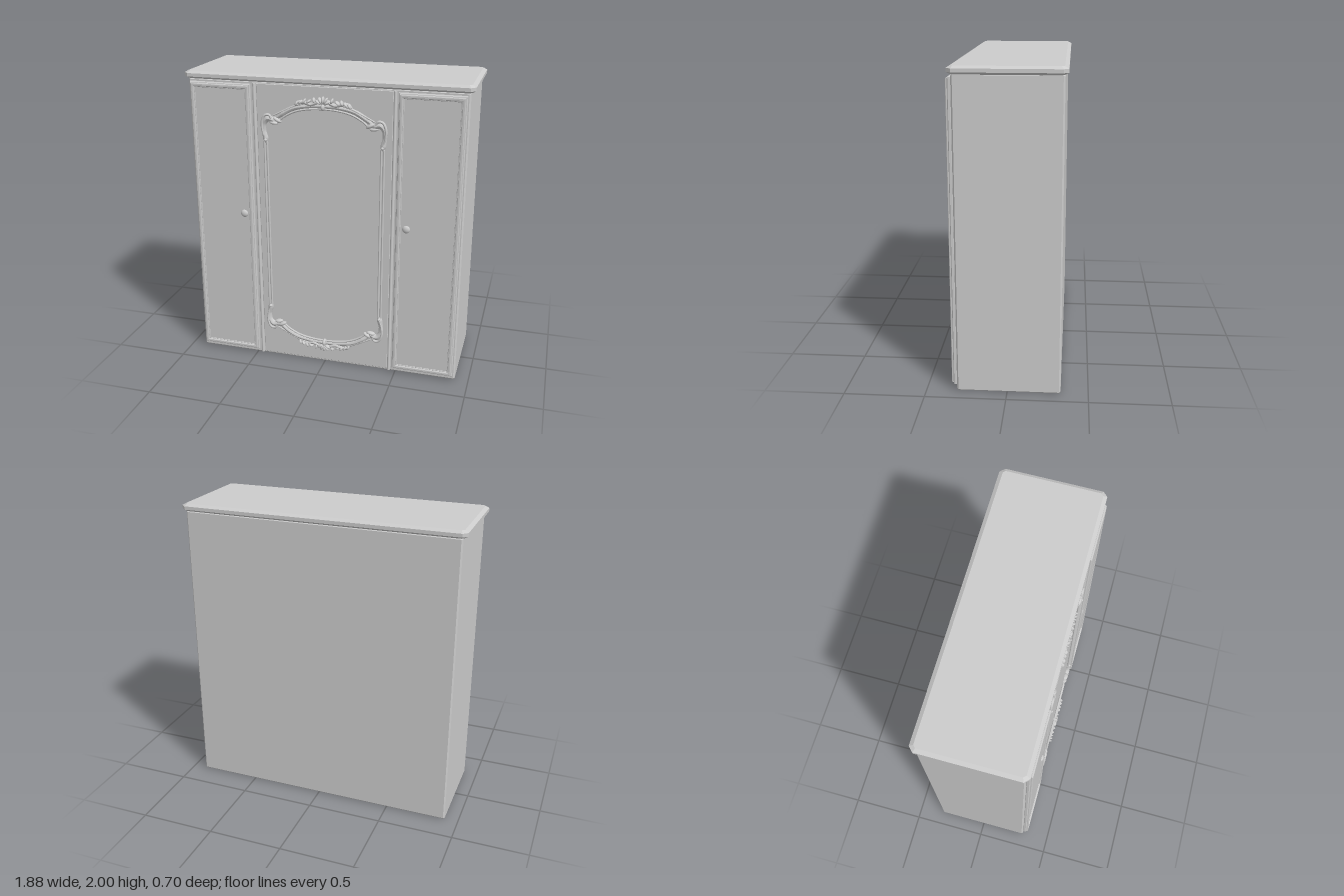
import * as THREE from 'three';

const material = new THREE.MeshStandardMaterial({ color: 0xcccccc });
const FACE = 0.312; // z of the carcass front
const MID = 0.985;  // height about which the central frame mirrors

function add(parent, name, geometry, x = 0, y = 0, z = 0) {
  const mesh = new THREE.Mesh(geometry, material);
  mesh.name = name;
  mesh.position.set(x, y, z);
  parent.add(mesh);
  return mesh;
}

// Rectangle with cut corners, centred on the origin
function rect(w, h, cut = 0, Type = THREE.Shape) {
  const x = w / 2, y = h / 2, s = new Type();
  if (!cut) {
    [[-x, -y], [x, -y], [x, y], [-x, y]].forEach((p, i) => (i ? s.lineTo(...p) : s.moveTo(...p)));
  } else {
    [[-x + cut, -y], [x - cut, -y], [x, -y + cut], [x, y - cut],
      [x - cut, y], [-x + cut, y], [-x, y - cut], [-x, -y + cut]]
      .forEach((p, i) => (i ? s.lineTo(...p) : s.moveTo(...p)));
  }
  s.closePath();
  return s;
}

// Slab from z = 0 to z = depth, chamfered inward on both faces
function slab(w, h, depth, chamfer, thick = chamfer, cut = 0) {
  return new THREE.ExtrudeGeometry(rect(w, h, cut), {
    depth: depth - 2 * thick, bevelEnabled: true, bevelSegments: 1,
    bevelSize: chamfer, bevelThickness: thick, bevelOffset: -chamfer,
  }).translate(0, 0, thick);
}

// Rectangular moulding with an open middle
function moulding(w, h, border, depth, bevel) {
  const s = rect(w - 2 * bevel, h - 2 * bevel);
  s.holes.push(rect(w - 2 * border + 2 * bevel, h - 2 * border + 2 * bevel, 0, THREE.Path));
  return new THREE.ExtrudeGeometry(s, {
    depth: depth - bevel, bevelEnabled: true, bevelSegments: 2, bevelSize: bevel, bevelThickness: bevel,
  });
}

// Carved strand: a tube along [x, y, radius] points, flattened in z
function strand(points, sx, sy, flat = 1) {
  const curve = new THREE.CatmullRomCurve3(points.map(([x, y]) => new THREE.Vector3(x * sx, MID + (y - MID) * sy, 0)));
  const segs = points.length * 6, radial = 10;
  const geo = new THREE.TubeGeometry(curve, segs, 1, radial);
  const pos = geo.attributes.position, v = new THREE.Vector3();
  for (let i = 0; i <= segs; i++) {
    const c = curve.getPointAt(i / segs);
    const t = curve.getUtoTmapping(i / segs) * (points.length - 1);
    const k = Math.min(Math.floor(t), points.length - 2);
    const r = THREE.MathUtils.lerp(points[k][2], points[k + 1][2], t - k);
    for (let j = 0; j <= radial; j++) {
      const n = i * (radial + 1) + j;
      v.fromBufferAttribute(pos, n).sub(c).multiplyScalar(r);
      pos.setXYZ(n, c.x + v.x, c.y + v.y, v.z * flat);
    }
  }
  geo.computeVertexNormals();
  return geo;
}

// Rounded leaf or bead
function lobe(parent, name, x, y, rx, ry, rz, angle, sx, sy) {
  const m = add(parent, name, new THREE.SphereGeometry(1, 12, 8), x * sx, MID + (y - MID) * sy, FACE + 0.008);
  m.scale.set(rx, ry, rz);
  m.rotation.z = angle * sx * sy;
}

function door(side) {
  const g = new THREE.Group();
  g.name = side > 0 ? 'leftDoor' : 'rightDoor';
  const w = 0.414, h = 1.9;
  add(g, 'doorLeaf', slab(w, h, 0.024, 0.005));
  add(g, 'doorMoulding', moulding(w - 0.016, h - 0.016, 0.022, 0.036, 0.006));
  add(g, 'innerBead', moulding(w - 0.056, h - 0.056, 0.008, 0.027, 0.003));
  const knob = add(g, 'knob', new THREE.SphereGeometry(0.026, 20, 14), -side * 0.136, 0.075, 0.022);
  knob.scale.z = 0.65;
  g.position.set(side * 0.687, 0.985, FACE - 0.002);
  return g;
}

// One quarter of the carved central frame
function carvedQuarter(parent, sx, sy) {
  const s = (name, pts, flat, z = FACE + 0.004) => add(parent, name, strand(pts, sx, sy, flat), 0, 0, z);
  // Corner scroll climbing from the side rod
  s('cornerScroll', [[0.385, 1.56, 0.012], [0.388, 1.59, 0.019], [0.397, 1.64, 0.014], [0.395, 1.69, 0.018],
    [0.37, 1.72, 0.022], [0.335, 1.712, 0.02], [0.315, 1.69, 0.004]], 1.1);
  s('scrollRidge', [[0.383, 1.575, 0.002], [0.403, 1.64, 0.007], [0.405, 1.7, 0.009], [0.385, 1.742, 0.009],
    [0.355, 1.745, 0.009], [0.345, 1.72, 0.007], [0.362, 1.71, 0.003]], 1, FACE + 0.019);
  lobe(parent, 'scrollLeaf', 0.305, 1.715, 0.032, 0.013, 0.02, 0.5, sx, sy);
  lobe(parent, 'scrollLeaf', 0.33, 1.695, 0.03, 0.012, 0.022, 0.15, sx, sy);
  lobe(parent, 'scrollEye', 0.385, 1.58, 0.012, 0.012, 0.026, 0, sx, sy);
  // Arch: wide band with a fine inner and outer bead
  s('archBand', [[0.325, 1.715, 0.008], [0.27, 1.757, 0.018], [0.2, 1.795, 0.017], [0.1, 1.815, 0.016],
    [0, 1.82, 0.016]], 0.9);
  s('archInnerBead', [[0.305, 1.695, 0.004], [0.255, 1.74, 0.007], [0.18, 1.778, 0.007], [0.09, 1.797, 0.007],
    [0, 1.803, 0.007]], 1, FACE + 0.01);
  s('archOuterBead', [[0.335, 1.74, 0.004], [0.26, 1.778, 0.006], [0.18, 1.815, 0.006], [0.12, 1.83, 0.004]],
    1, FACE + 0.012);
  // Leaf spray beside the crown
  s('crownScroll', [[0.19, 1.815, 0.004], [0.165, 1.838, 0.01], [0.12, 1.838, 0.013], [0.08, 1.828, 0.013],
    [0.045, 1.842, 0.013], [0.025, 1.862, 0.005]], 1.1, FACE + 0.01);
  [[0.172, 1.83, 0.4], [0.148, 1.838, 0.7], [0.122, 1.846, 0.4], [0.095, 1.845, 0.9], [0.058, 1.855, -0.3]]
    .forEach(([x, y, a]) => lobe(parent, 'crownLeaf', x, y, 0.009, 0.019, 0.028, a, sx, sy));
}

function carvedFrame() {
  const g = new THREE.Group();
  g.name = 'carvedFrame';
  for (const sx of [1, -1]) {
    // Side rods: a flat fillet with two round beads
    add(g, 'rodFillet', new THREE.BoxGeometry(0.026, 1.17, 0.014), sx * 0.386, MID, FACE + 0.003);
    for (const dx of [-0.009, 0.009]) {
      add(g, 'rodBead', new THREE.CylinderGeometry(0.0065, 0.0065, 1.17, 10), sx * 0.386 + dx, MID, FACE + 0.012);
    }
    for (const sy of [1, -1]) carvedQuarter(g, sx, sy);
  }
  // Fan of petals at the head and foot
  for (const sy of [1, -1]) {
    for (let i = -2; i <= 2; i++) {
      const a = i * 0.55;
      lobe(g, 'fanPetal', Math.sin(a) * 0.03, 1.832 + Math.cos(a) * 0.025, 0.011, 0.026, 0.027, -a, 1, sy);
    }
    lobe(g, 'fanBase', 0, 1.815, 0.014, 0.025, 0.031, 0, 1, sy);
  }
  return g;
}

export function createModel() {
  const model = new THREE.Group();
  model.name = 'wardrobe';

  // Carcass with eased edges
  add(model, 'carcass', slab(1.82, 1.955, 0.642, 0.01, 0.01, 0.008), 0, 0.9775, FACE - 0.642);

  // Cornice board with cut corners and chamfered rim
  const cornice = add(model, 'cornice', slab(1.875, 0.686, 0.05, 0.024, 0.014, 0.03), 0, 1.95, -0.007);
  cornice.rotation.x = -Math.PI / 2;

  // Central door panel and the strips that flank it
  add(model, 'centrePanel', slab(0.89, 1.925, 0.006, 0.003, 0.003), 0, 0.978, FACE - 0.003);
  for (const side of [1, -1]) {
    const strip = add(model, 'coverStrip', new THREE.CylinderGeometry(0.011, 0.011, 1.93, 12), side * 0.457, 0.977, FACE);
    strip.scale.z = 1.8;
    model.add(door(side));
  }

  model.add(carvedFrame());
  return model;
}
